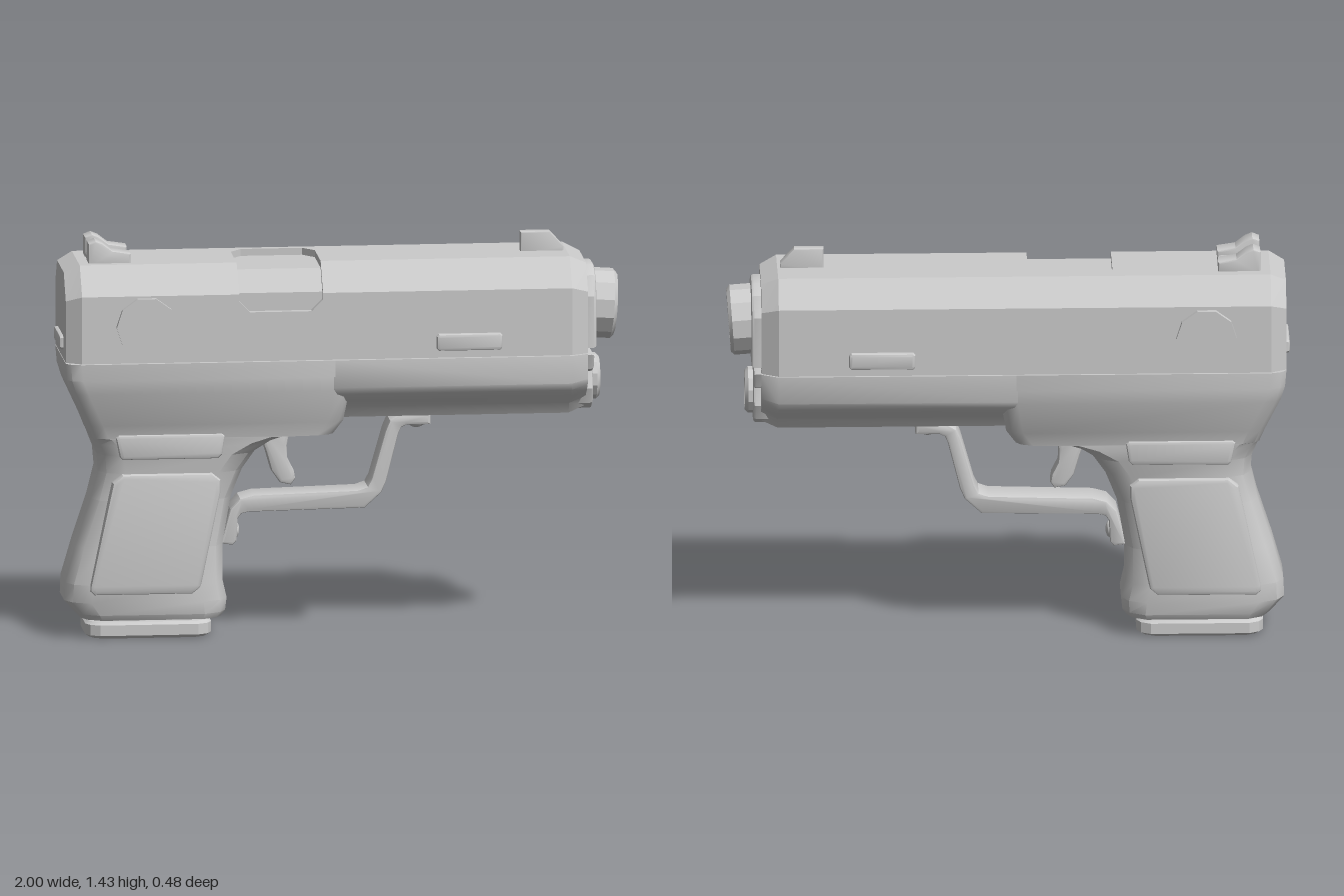
import * as THREE from 'three';
import { toCreasedNormals } from 'three/addons/utils/BufferGeometryUtils.js';

const material = new THREE.MeshStandardMaterial({ color: 0xcccccc });

export function createModel() {
  const model = new THREE.Group();
  model.name = 'pistol';

  const add = (name, geometry, crease = 0.5) => {
    const flat = geometry.index ? geometry.toNonIndexed() : geometry;
    const mesh = new THREE.Mesh(toCreasedNormals(flat, crease), material);
    mesh.name = name;
    model.add(mesh);
    return mesh;
  };

  // Closed solid through rings of [x, y, z] points, capped at both ends
  const loft = (rings) => {
    const n = rings[0].length;
    const pos = rings.flat(2);
    const index = [];
    for (let r = 0; r < rings.length - 1; r++) {
      for (let i = 0; i < n; i++) {
        const a = r * n + i, b = r * n + (i + 1) % n;
        index.push(a, b, b + n, a, b + n, a + n);
      }
    }
    [0, rings.length - 1].forEach((r) => {
      const c = pos.length / 3;
      for (let k = 0; k < 3; k++) pos.push(rings[r].reduce((s, p) => s + p[k], 0) / n);
      for (let i = 0; i < n; i++) {
        const a = r * n + i, b = r * n + (i + 1) % n;
        index.push(c, ...(r ? [a, b] : [b, a]));
      }
    });
    // Turn the faces outward if the enclosed volume is negative
    const at = (i) => new THREE.Vector3().fromArray(pos, i * 3);
    let volume = 0;
    for (let i = 0; i < index.length; i += 3) {
      volume += at(index[i]).dot(at(index[i + 1]).cross(at(index[i + 2])));
    }
    if (volume < 0) index.reverse();
    const g = new THREE.BufferGeometry();
    g.setAttribute('position', new THREE.Float32BufferAttribute(pos, 3));
    g.setIndex(index);
    return g;
  };

  // Bevelled slab with an outline in x and y, centred on z = 0
  const slab = (points, depth, bevel = 0.01) => {
    const shape = new THREE.Shape(points.map((p) => new THREE.Vector2(...p)));
    return new THREE.ExtrudeGeometry(shape, {
      depth: depth - 2 * bevel, bevelThickness: bevel, bevelSize: bevel,
      bevelOffset: -bevel, bevelSegments: 2,
    }).translate(0, 0, -depth / 2 + bevel);
  };

  // Rectangle outline with cut corners
  const cutBox = (x0, x1, y0, y1, c) => [
    [x0 + c, y0], [x1 - c, y0], [x1, y0 + c], [x1, y1 - c],
    [x1 - c, y1], [x0 + c, y1], [x0, y1 - c], [x0, y0 + c]];

  // Slide: chamfered section, pinched at the ends and sunk at the ejection port
  const slideRing = (x, inset = 0, d = 0, zE = -0.07, yE = 1.23) => [
    [0.22, 1.013], [0.22, yE], [0.22 - d, yE], [0.22 - d, 1.255], [0.135, 1.355 - d],
    [zE, 1.355 - d], [zE, 1.355], [-0.145, 1.355], [-0.22, 1.26], [-0.22, 1.013],
  ].map(([z, y]) => [x, y - inset * 0.8 * (y - 1.013) / 0.34, z * (1 - inset / 0.22)]);
  add('slide', loft([
    slideRing(-0.985, 0.035), slideRing(-0.93),
    slideRing(-0.37), slideRing(-0.37, 0, 0.025),
    slideRing(-0.33, 0, 0.025, -0.12, 1.19), slideRing(-0.11, 0, 0.025, -0.12, 1.19),
    slideRing(-0.07, 0, 0.025), slideRing(-0.07),
    slideRing(0.82), slideRing(0.88, 0.035),
  ]), 0.35);

  // Frame and grip: rows of y, back x, front x, half width, corner cut along x and z
  const octRing = ([y, x0, x1, w, bx, bz]) =>
    cutBoxRing(x0, x1, w, bx, bz).map(([x, z]) => [x, y, z]);
  const cutBoxRing = (x0, x1, w, bx, bz) => [
    [x0 + bx, w], [x1 - bx, w], [x1 - bx * 0.3, w - bz * 0.4], [x1, w - bz],
    [x1, bz - w], [x1 - bx * 0.3, bz * 0.4 - w], [x1 - bx, -w],
    [x0 + bx, -w], [x0 + bx * 0.3, bz * 0.4 - w], [x0, bz - w],
    [x0, w - bz], [x0 + bx * 0.3, w - bz * 0.4]];
  add('frameAndGrip', loft([
    [0.07, -0.92, -0.42, 0.145, 0.07, 0.07],
    [0.09, -0.94, -0.405, 0.155, 0.08, 0.08],
    [0.135, -0.98, -0.4, 0.158, 0.09, 0.08],
    [0.2, -0.977, -0.415, 0.162, 0.09, 0.08],
    [0.33, -0.94, -0.415, 0.155, 0.09, 0.08],
    [0.5, -0.885, -0.385, 0.15, 0.09, 0.08],
    [0.6, -0.86, -0.345, 0.153, 0.09, 0.08],
    [0.665, -0.865, -0.3, 0.16, 0.09, 0.08],
    [0.705, -0.88, -0.24, 0.163, 0.08, 0.07],
    [0.727, -0.888, -0.18, 0.166, 0.07, 0.06],
    [0.73, -0.89, -0.025, 0.166, 0.06, 0.04],
    [0.78, -0.91, 0.01, 0.18, 0.06, 0.04],
    [0.9, -0.965, 0.03, 0.215, 0.06, 0.04],
    [0.95, -0.98, 0.03, 0.22, 0.055, 0.035],
    [1.01, -0.985, 0.03, 0.22, 0.055, 0.035],
  ].map(octRing)), 0.6);

  // Front of the frame under the slide
  const half = [[0.22, 1.01], [0.22, 0.91], [0.205, 0.885], [0.17, 0.855], [0.11, 0.82], [0.085, 0.78]];
  const section = [...half, ...half.map(([z, y]) => [-z, y]).reverse()];
  const coverRing = (x, inset) => section.map(([z, y]) =>
    [x, y + inset * 0.7 * (1.01 - y) / 0.23, z * (1 - inset / 0.22)]);
  add('dustCover', loft([coverRing(-0.03, 0), coverRing(0.82, 0), coverRing(0.88, 0.035)]), 0.6);

  // Magazine base below the grip
  add('magazineBase', loft([
    [0, -0.89, -0.47, 0.115, 0.05, 0.05], [0.012, -0.905, -0.455, 0.13, 0.05, 0.05],
    [0.05, -0.905, -0.455, 0.13, 0.05, 0.05], [0.06, -0.895, -0.465, 0.12, 0.05, 0.05],
    [0.061, -0.87, -0.49, 0.1, 0.05, 0.05], [0.08, -0.87, -0.49, 0.1, 0.05, 0.05],
  ].map(octRing)));

  // Raised parts on both sides
  const panel = [[-0.88, 0.165], [-0.53, 0.165], [-0.5, 0.19], [-0.43, 0.53], [-0.43, 0.575],
    [-0.46, 0.6], [-0.78, 0.6], [-0.815, 0.57], [-0.895, 0.2], [-0.895, 0.18]];
  const strip = [[-0.78, 0.655], [-0.44, 0.655], [-0.425, 0.67], [-0.415, 0.735],
    [-0.425, 0.745], [-0.795, 0.745], [-0.805, 0.735], [-0.79, 0.665]];
  for (const [side, s] of [['left', 1], ['right', -1]]) {
    add(side + 'GripPanel', slab(panel, 0.06, 0.015)).position.z = s * 0.142;
    add(side + 'GripStrip', slab(strip, 0.06, 0.012)).position.z = s * 0.149;
    add(side + 'SlideBar', slab(cutBox(0.335, 0.57, 1.04, 1.1, 0.008), 0.06)).position.z = s * 0.21;
    add(side + 'SlideDisc', new THREE.CylinderGeometry(0.108, 0.108, 0.06, 10)
      .rotateY(Math.PI / 10).rotateX(Math.PI / 2)).position.z = s * 0.21;
    model.children.at(-1).position.set(-0.7, 1.145, s * 0.21);
  }
  const rearBar = add('rearBar', slab(cutBox(-0.1, 0.1, 1.045, 1.095, 0.008), 0.05));
  rearBar.rotation.y = Math.PI / 2;
  rearBar.position.x = -0.975;

  // Plates on the front end; outlines run along z and y
  const frontPlate = (name, right, x) => {
    const outline = [...right, ...right.map(([z, y]) => [-z, y]).reverse()];
    const mesh = add(name, slab(outline, 0.07));
    mesh.rotation.y = Math.PI / 2;
    mesh.position.x = x;
  };
  frontPlate('muzzlePlate', [[0.15, 1.025], [0.15, 1.21], [0.11, 1.28], [0.05, 1.31]], 0.88);
  frontPlate('lowerPlate', [[0.05, 0.79], [0.09, 0.815], [0.11, 0.87], [0.09, 0.93],
    [0.13, 0.945], [0.15, 1.0]], 0.872);

  // Hollow tubes pointing forward
  const tube = (name, length, outer, inner, sides, x, y) => {
    const c = 0.012;
    const profile = [[outer, 0], [outer, length - c], [outer - c, length], [inner + c, length],
      [inner, length - c], [inner, 0.005], [0, 0.005]].map((p) => new THREE.Vector2(...p));
    const mesh = add(name, new THREE.LatheGeometry(profile, sides)
      .rotateY(Math.PI / sides).rotateZ(-Math.PI / 2));
    mesh.position.set(x, y, 0);
    return mesh;
  };
  tube('barrel', 0.12, 0.125, 0.08, 12, 0.873, 1.165).rotation.z = -0.07;
  tube('guideRod', 0.06, 0.083, 0.055, 12, 0.876, 0.897);

  // Sights
  add('frontSight', slab([[0.655, 1.34], [0.81, 1.34], [0.81, 1.37], [0.76, 1.425], [0.655, 1.425]], 0.04, 0.005));
  const prong = [[-0.895, 1.34], [-0.745, 1.34], [-0.745, 1.388], [-0.81, 1.398], [-0.845, 1.425],
    [-0.87, 1.435], [-0.895, 1.425]];
  for (const s of [1, -1]) add('rearSightProng', slab(prong, 0.075, 0.006)).position.z = s * 0.067;
  add('rearSightBase', slab(cutBox(-0.893, -0.747, 1.34, 1.372, 0.004), 0.2, 0.004));

  // Trigger
  add('trigger', slab([[-0.29, 0.75], [-0.255, 0.65], [-0.235, 0.58], [-0.205, 0.537], [-0.165, 0.528],
    [-0.15, 0.55], [-0.155, 0.58], [-0.178, 0.625], [-0.18, 0.67], [-0.165, 0.75]], 0.075, 0.012));

  // Trigger guard with its two rivets
  add('triggerGuard', slab([[0.33, 0.785], [0.22, 0.78], [0.185, 0.76], [0.168, 0.72], [0.12, 0.55],
    [0.105, 0.522], [0.07, 0.51], [-0.3, 0.5], [-0.35, 0.487], [-0.385, 0.45], [-0.42, 0.325],
    [-0.375, 0.32], [-0.362, 0.335], [-0.358, 0.415], [-0.345, 0.432], [-0.32, 0.438], [0.095, 0.445],
    [0.155, 0.5], [0.172, 0.54], [0.215, 0.71], [0.225, 0.733], [0.245, 0.742], [0.33, 0.742]],
  0.13, 0.01));
  for (const [x, y] of [[-0.362, 0.365], [0.285, 0.741]]) {
    add('guardRivet', new THREE.SphereGeometry(0.03, 12, 8)).position.set(x, y, 0);
    model.children.at(-1).scale.set(x < 0 ? 0.5 : 1, x < 0 ? 1 : 0.6, 1);
  }

  return model;
}
